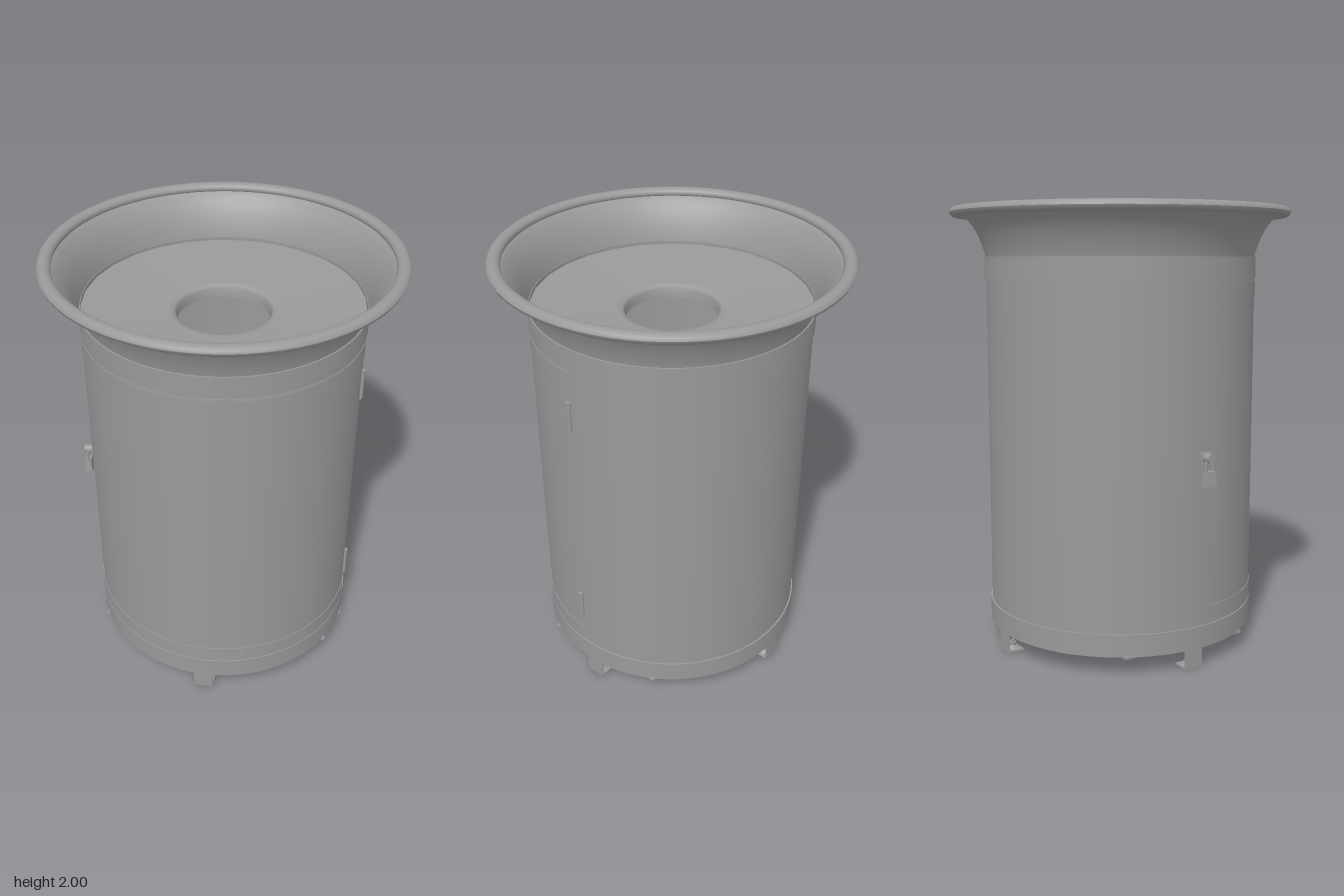
import * as THREE from 'three';

const solid = new THREE.MeshStandardMaterial({ color: 0x999999 });
const sheet = new THREE.MeshStandardMaterial({ color: 0x999999, side: THREE.DoubleSide });

export function createModel() {
  const model = new THREE.Group();

  const add = (name, geometry, material = solid, x = 0, y = 0, z = 0, parent = model) => {
    const mesh = new THREE.Mesh(geometry, material);
    mesh.name = name;
    mesh.position.set(x, y, z);
    parent.add(mesh);
    return mesh;
  };
  const lathe = (pts, segments = 72, start = 0, sweep = Math.PI * 2) =>
    new THREE.LatheGeometry(pts.map(p => new THREE.Vector2(...p)), segments, start, sweep);
  // Raised band with sharp ledges; doubled corner points keep the edges crisp
  const band = (name, r, y0, y1, start, sweep) =>
    add(name, lathe([[0.613, y0], [r, y0], [r, y0], [r, y1], [r, y1], [0.613, y1]],
      72, start, sweep), sheet);
  const doorStart = -Math.PI / 2 + 0.1, doorSweep = Math.PI - 0.2;

  // Open-bottomed drum, front door and reinforcing bands
  add('shell', lathe([[0.615, 0.085], [0.615, 1.78]]), sheet);
  band('door', 0.618, 0.19, 1.675, doorStart, doorSweep);
  band('lowerBand', 0.622, 0.085, 0.185);
  band('upperBand', 0.622, 1.68, 1.78);
  band('doorLowerBand', 0.621, 0.19, 0.268, doorStart, doorSweep);
  band('doorUpperBand', 0.621, 1.6, 1.67, doorStart, doorSweep);

  // Flared mouth with a rolled rim
  const flare = new THREE.SplineCurve([
    [0.615, 1.775], [0.621, 1.8], [0.638, 1.85], [0.665, 1.905], [0.70, 1.95], [0.72, 1.967]
  ].map(p => new THREE.Vector2(...p)));
  add('flaredMouth', new THREE.LatheGeometry(flare.getPoints(14), 72), sheet);
  const roll = [];
  for (let i = 0; i <= 12; i++) {
    const a = (i / 12) * Math.PI * 2;
    roll.push([0.745 + 0.03 * Math.cos(a), 1.977 + 0.023 * Math.sin(a)]);
  }
  add('rolledRim', lathe(roll), sheet);

  // Shallow funnel lid, faceted at its edge, with a lipped centre hole
  add('funnelLid', lathe([[0.613, 1.766], [0.235, 1.737]], 28), sheet);
  add('holeLip', lathe([[0.236, 1.737], [0.215, 1.732], [0.205, 1.72], [0.202, 1.68]], 64), sheet);

  // Two straps across the open bottom
  for (const s of [-1, 1])
    add('bottomStrap', new THREE.BoxGeometry(1.11, 0.01, 0.1), solid, 0, 0.084, s * 0.26);

  // Four L-shaped feet with fixing bolts
  for (let i = 0; i < 4; i++) {
    const foot = new THREE.Group();
    foot.name = 'foot';
    add('footUpright', new THREE.BoxGeometry(0.09, 0.18, 0.007), solid, 0, 0.09, 0.616, foot);
    add('footPlate', new THREE.BoxGeometry(0.09, 0.007, 0.075), solid, 0, 0.0035, 0.582, foot);
    add('boltWasher', new THREE.CylinderGeometry(0.02, 0.032, 0.012, 16), solid, 0, 0.013, 0.578, foot);
    add('boltHead', new THREE.CylinderGeometry(0.018, 0.018, 0.014, 6), solid, 0, 0.026, 0.578, foot);
    add('boltTip', new THREE.CylinderGeometry(0.009, 0.009, 0.012, 12), solid, 0, 0.038, 0.578, foot);
    foot.rotation.y = i * Math.PI / 2;
    model.add(foot);
  }

  // Door hinges
  for (const y of [0.41, 1.453])
    add('hinge', new THREE.CylinderGeometry(0.012, 0.012, 0.145, 16), solid, 0.615, y, 0.068);

  // Latch with a hanging padlock
  const lock = new THREE.Group();
  lock.name = 'padlockLatch';
  lock.position.set(-0.612, 0.935, 0.045);
  model.add(lock);
  add('latchBase', new THREE.BoxGeometry(0.03, 0.04, 0.06), solid, -0.005, 0, 0, lock);
  add('latchBarrel', new THREE.CylinderGeometry(0.02, 0.02, 0.045, 16).rotateZ(Math.PI / 2),
    solid, -0.036, 0, 0, lock);
  const shackle = new THREE.CatmullRomCurve3([
    [0, -0.065, -0.016], [0, -0.015, -0.016], [0, 0.004, 0], [0, -0.015, 0.016], [0, -0.065, 0.016]
  ].map(p => new THREE.Vector3(...p)));
  add('shackle', new THREE.TubeGeometry(shackle, 20, 0.006, 8), solid, -0.043, 0, 0, lock);
  const taperedBox = new THREE.CylinderGeometry(0.017, 0.024, 0.066, 4).toNonIndexed();
  taperedBox.rotateY(Math.PI / 4).scale(1, 1, 1.7).computeVertexNormals();
  add('padlockBody', taperedBox, solid, -0.043, -0.087, 0, lock);

  return model;
}
